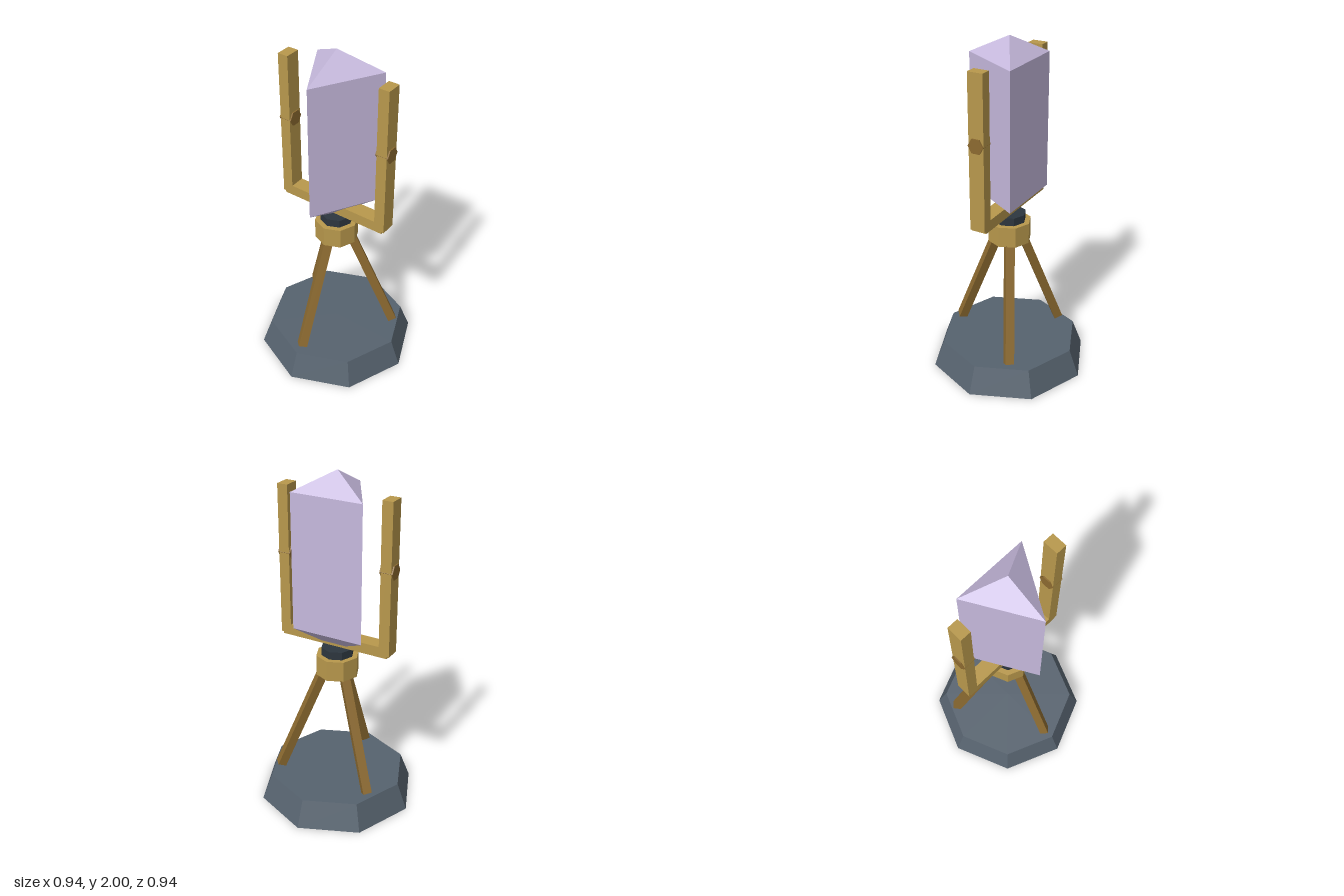
import * as THREE from 'three';

const mat = (name, color) => {
  const m = new THREE.MeshStandardMaterial({ color });
  m.name = name;
  return m;
};

// split shared corners so every face is shaded flat
const faceted = (geometry) => {
  const g = geometry.toNonIndexed();
  g.computeVertexNormals();
  return g;
};

export function createModel() {
  const gold = mat('gold', 0xb8984c);
  const bronze = mat('dark bronze', 0x8c6a30);
  const slate = mat('slate', 0x56626e);
  const iron = mat('dark iron', 0x2d363f);
  const lilac = mat('lilac crystal', 0xc6b9dd);

  const model = new THREE.Group();
  model.name = 'crystalStand';

  const add = (name, geometry, material, x = 0, y = 0, z = 0) => {
    const mesh = new THREE.Mesh(geometry, material);
    mesh.name = name;
    mesh.position.set(x, y, z);
    model.add(mesh);
    return mesh;
  };
  const prism = (rTop, rBottom, height, sides) =>
    faceted(new THREE.CylinderGeometry(rTop, rBottom, height, sides));

  // octagonal plinth
  add('base', prism(0.41, 0.47, 0.158, 8), slate, 0, 0.079, 0);

  // three splayed square legs
  const up = new THREE.Vector3(0, 1, 0);
  for (let i = 0; i < 3; i++) {
    const a = 1.591 + (i * Math.PI * 2) / 3;
    const at = (r, y) => new THREE.Vector3(Math.cos(a) * r, y, Math.sin(a) * r);
    const foot = at(0.345, 0.17), top = at(0.06, 0.87);
    const dir = top.clone().sub(foot);
    const leg = add('leg', prism(0.036, 0.036, dir.length(), 4), bronze);
    leg.position.copy(foot).add(top).multiplyScalar(0.5);
    leg.quaternion.setFromUnitVectors(up, dir.normalize());
  }

  // hub and swivel neck
  add('hub', prism(0.126, 0.126, 0.122, 8), gold, 0, 0.871, 0);
  add('neck', prism(0.095, 0.095, 0.06, 8), iron, 0, 0.949, 0);

  // U-shaped yoke with a hexagonal bolt through each arm
  add('yokeBar', new THREE.BoxGeometry(0.666, 0.063, 0.09), gold, 0, 1.03, 0);
  for (const side of [-1, 1]) {
    add('yokeArm', new THREE.BoxGeometry(0.063, 0.88, 0.09), gold, side * 0.316, 1.45, 0);
    const bolt = add('bolt', prism(0.046, 0.046, 0.078, 6), bronze, side * 0.316, 1.5, 0);
    bolt.rotation.z = Math.PI / 2;
  }

  // three-sided crystal with pointed ends
  const profile = [[0, 0.97], [0.25, 1.09], [0.25, 1.88], [0, 2]]
    .map(([r, y]) => new THREE.Vector2(r, y));
  add('crystal', faceted(new THREE.LatheGeometry(profile, 3)), lilac);

  return model;
}
